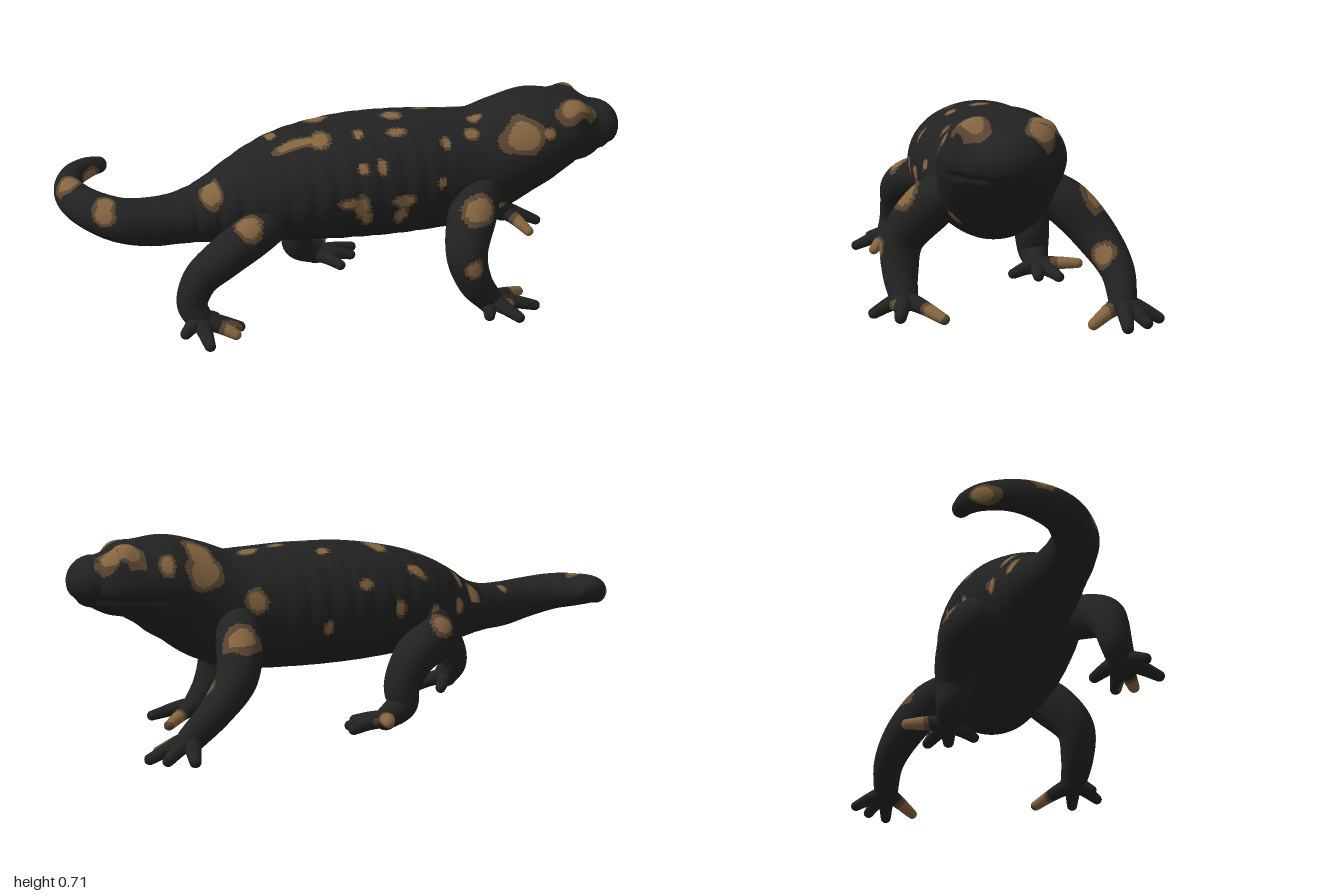
import * as THREE from 'three';

const V = (x, y, z) => new THREE.Vector3(x, y, z);
const material = (name, color) => Object.assign(new THREE.MeshStandardMaterial({ color }), { name });

// Sweeps an oval section through stations [x, y, z, halfWidth, halfHeight], with domed ends
function sweep(stations, rings, sides, deform) {
  const path = new THREE.CatmullRomCurve3(stations.map(s => V(s[0], s[1], s[2])));
  const size = new THREE.CatmullRomCurve3(stations.map(s => V(s[3], s[4] ?? s[3], 0.5 * s[0])));
  const list = [], caps = 7;
  let side = null;
  for (let i = 0; i <= rings; i++) {
    const u = i / rings, c = path.getPoint(u), r = size.getPoint(u), t = path.getTangent(u);
    side = side ? side.addScaledVector(t, -side.dot(t)).normalize() : V().crossVectors(t, V(0, 1, 0)).normalize();
    const add = (off, k) => list.push({ c: c.clone().addScaledVector(t, off), w: r.x * k, h: r.y * k, s: side.clone(), u: V().crossVectors(side, t) });
    const cap = Math.min(r.x, r.y);
    const dome = (k, sign) => add(sign * cap * Math.sin(k / caps * Math.PI / 2), Math.cos(k / caps * Math.PI / 2));
    if (i === 0) for (let k = caps; k > 0; k--) dome(k, -1);
    add(0, 1);
    if (i === rings) for (let k = 1; k <= caps; k++) dome(k, 1);
  }
  const pos = [], index = [];
  list.forEach((f, i) => {
    for (let j = 0; j < sides; j++) {
      const a = j / sides * Math.PI * 2;
      const p = f.c.clone().addScaledVector(f.s, Math.cos(a) * f.w).addScaledVector(f.u, Math.sin(a) * f.h);
      if (deform) deform(p, f.c);
      pos.push(p.x, p.y, p.z);
      if (i === list.length - 1) continue;
      const A = i * sides + j, B = i * sides + (j + 1) % sides;
      index.push(A, A + sides, B, B, A + sides, B + sides);
    }
  });
  const g = new THREE.BufferGeometry();
  g.setAttribute('position', new THREE.Float32BufferAttribute(pos, 3));
  g.setIndex(index);
  g.computeVertexNormals();
  return g;
}

// Sorts the faces into skin, spot rim and spot centre; spot(p, n) gives the relative distance to a spot
function paint(geometry, spot) {
  const p = geometry.attributes.position, idx = geometry.index.array, bins = [[], [], []];
  const a = V(), b = V(), c = V(), n = V(), m = V();
  for (let i = 0; i < idx.length; i += 3) {
    a.fromBufferAttribute(p, idx[i]); b.fromBufferAttribute(p, idx[i + 1]); c.fromBufferAttribute(p, idx[i + 2]);
    m.copy(a).add(b).add(c).divideScalar(3);
    n.crossVectors(b.sub(a), c.sub(a)).normalize();
    const d = spot(m, n) * (1 + 0.12 * Math.sin(55 * m.x + 20 * m.y) * Math.cos(50 * m.z + 30 * m.y));
    bins[d < 0.72 ? 2 : d < 1 ? 1 : 0].push(idx[i], idx[i + 1], idx[i + 2]);
  }
  geometry.setIndex(bins.flat());
  let start = 0;
  bins.forEach((bin, k) => { if (bin.length) geometry.addGroup(start, bin.length, k); start += bin.length; });
  return geometry;
}

// Snout to tail tip
const BODY = [
  [0.915, 0.573, 0.055, 0.108, 0.088], [0.86, 0.568, 0.05, 0.15, 0.11], [0.8, 0.57, 0.045, 0.177, 0.128],
  [0.7, 0.558, 0.045, 0.2, 0.165], [0.6, 0.522, 0.045, 0.2, 0.18], [0.5, 0.475, 0.035, 0.195, 0.195],
  [0.4, 0.457, 0.03, 0.205, 0.208], [0.2, 0.457, 0.025, 0.237, 0.217], [0, 0.457, 0.022, 0.245, 0.213],
  [-0.2, 0.445, 0.028, 0.225, 0.19], [-0.4, 0.407, 0.05, 0.15, 0.148], [-0.5, 0.395, 0.065, 0.125, 0.107],
  [-0.6, 0.39, 0.085, 0.1, 0.087], [-0.7, 0.393, 0.1, 0.085, 0.083], [-0.8, 0.41, 0.1, 0.075, 0.076],
  [-0.89, 0.435, 0.045, 0.065, 0.068], [-0.94, 0.45, -0.05, 0.055, 0.06], [-0.942, 0.46, -0.13, 0.048, 0.052],
  [-0.91, 0.465, -0.21, 0.042, 0.045], [-0.86, 0.47, -0.25, 0.036, 0.038], [-0.82, 0.47, -0.265, 0.029, 0.03],
];
const EYES = [V(0.85, 0.665, -0.05), V(0.81, 0.665, 0.165)];

// Eye bulges, mouth crease and rib folds
function shapeBody(p, c) {
  const out = p.clone().sub(c).normalize();
  let d = 0;
  for (const e of EYES) d += 0.034 * Math.exp(-p.distanceToSquared(e) / 0.0032);
  if (p.x > 0.7) d -= 0.009 * Math.min(1, (p.x - 0.7) / 0.06) * Math.exp(-(((p.y - 0.515) / 0.011) ** 2));
  if (p.x > -0.65 && p.x < 0.4) {
    const fade = Math.min(1, (0.4 - p.x) / 0.1, (p.x + 0.65) / 0.1);
    d -= 0.007 * fade * Math.pow(0.5 + 0.5 * Math.cos(p.x * 80), 3) * (1 - out.y * out.y);
  }
  p.addScaledVector(out, d);
}

// Body spots: [u, v, radiusU, radiusV, turn], seen along one axis
const TOP = [
  [-0.09, -0.04, 0.04, 0.055], [-0.2, 0.11, 0.08, 0.026], [-0.11, 0.12, 0.04, 0.045], [-0.26, 0, 0.02, 0.045],
  [0.02, 0.13, 0.02, 0.024], [0.165, 0.045, 0.036, 0.036], [0.15, 0.14, 0.04, 0.02], [0.14, -0.09, 0.025, 0.02],
  [0.28, -0.01, 0.036, 0.017], [0.39, -0.03, 0.048, 0.022, -0.3], [0.45, 0.095, 0.03, 0.02], [0.42, 0.155, 0.03, 0.02],
  [0.32, 0.18, 0.02, 0.02], [0.59, -0.09, 0.055, 0.075], [0.86, -0.055, 0.09, 0.045, 0.7], [0.8, 0.165, 0.09, 0.042, -0.4],
  [0.72, -0.125, 0.03, 0.025], [-0.5, 0.13, 0.036, 0.045], [-0.49, -0.05, 0.03, 0.03], [-0.42, -0.05, 0.015, 0.03],
  [-0.67, 0.045, 0.02, 0.02], [-0.85, 0.12, 0.035, 0.035], [-0.95, -0.04, 0.045, 0.05], [-0.2, -0.15, 0.04, 0.02],
];
const NEAR = [
  [0, 0.43, 0.03, 0.05], [-0.03, 0.45, 0.055, 0.02], [0.02, 0.385, 0.02, 0.03], [0.15, 0.44, 0.045, 0.026],
  [0.14, 0.385, 0.028, 0.035], [0.29, 0.485, 0.02, 0.022], [0.01, 0.56, 0.022, 0.02], [0.08, 0.56, 0.02, 0.026],
  [0.59, 0.61, 0.08, 0.058, 0.25], [0.68, 0.62, 0.025, 0.02], [0.52, 0.345, 0.03, 0.025],
  [-0.49, 0.49, 0.036, 0.036], [-0.86, 0.45, 0.036, 0.036],
];
const FAR = [
  [0.59, 0.6, 0.07, 0.06], [0.42, 0.5, 0.04, 0.045], [0.03, 0.54, 0.03, 0.02], [-0.1, 0.45, 0.022, 0.035],
  [0.17, 0.4, 0.02, 0.03], [-0.26, 0.42, 0.022, 0.035], [-0.4, 0.43, 0.022, 0.03], [-0.95, 0.45, 0.03, 0.03],
];
const nearest = (spots, u, v) => Math.min(...spots.map(([su, sv, ru, rv, turn = 0]) => {
  const c = Math.cos(turn), s = Math.sin(turn), du = u - su, dv = v - sv;
  return Math.hypot((du * c + dv * s) / ru, (dv * c - du * s) / rv);
}));
function bodySpot(p, n) {
  const d = n.y > 0.25 ? nearest(TOP, p.x, p.z) : 9;
  if (n.z > 0.25) return Math.min(d, nearest(NEAR, p.x, p.y));
  if (n.z < -0.25) return Math.min(d, nearest(FAR, p.x, p.y));
  return d;
}

// Each leg: limb stations, toe tips, round spots [x, y, z, radius]
const LEGS = {
  frontLeftLeg: {
    limb: [[0.47, 0.43, -0.11, 0.07], [0.5, 0.375, -0.2, 0.078], [0.55, 0.27, -0.29, 0.07], [0.64, 0.18, -0.335, 0.056], [0.73, 0.095, -0.335, 0.045]],
    toes: [[0.76, 0.045, -0.445], [0.83, 0.045, -0.39], [0.865, 0.04, -0.32], [0.8, 0.04, -0.225]],
    spots: [[0.52, 0.38, -0.26, 0.065], [0.64, 0.23, -0.29, 0.048], [0.79, 0.06, -0.24, 0.065]],
  },
  frontRightLeg: {
    limb: [[0.46, 0.43, 0.17, 0.07], [0.4, 0.36, 0.25, 0.085], [0.355, 0.245, 0.33, 0.072], [0.385, 0.14, 0.34, 0.06], [0.44, 0.065, 0.335, 0.047]],
    toes: [[0.42, 0.035, 0.4], [0.515, 0.035, 0.44], [0.6, 0.035, 0.362], [0.59, 0.024, 0.22]],
    spots: [[0.4, 0.4, 0.32, 0.062], [0.36, 0.22, 0.395, 0.035], [0.57, 0.04, 0.245, 0.06], [0.5, 0.055, 0.37, 0.02]],
  },
  hindLeftLeg: {
    limb: [[-0.28, 0.38, -0.08, 0.075], [-0.26, 0.34, -0.155, 0.085], [-0.17, 0.27, -0.185, 0.075], [-0.12, 0.18, -0.19, 0.064], [-0.115, 0.11, -0.195, 0.056], [-0.05, 0.065, -0.2, 0.04]],
    toes: [[0.01, 0.08, -0.335], [0.1, 0.05, -0.25], [0.08, 0.05, -0.18], [0.02, 0.05, -0.1]],
    spots: [[-0.26, 0.39, -0.235, 0.05], [0, 0.08, -0.31, 0.065]],
  },
  hindRightLeg: {
    limb: [[-0.27, 0.37, 0.12, 0.075], [-0.37, 0.35, 0.21, 0.075], [-0.48, 0.3, 0.255, 0.07], [-0.565, 0.23, 0.26, 0.06], [-0.595, 0.15, 0.27, 0.052], [-0.575, 0.1, 0.29, 0.045]],
    toes: [[-0.635, 0.085, 0.355], [-0.565, 0.06, 0.415], [-0.465, 0.06, 0.355], [-0.44, 0.06, 0.3], [-0.51, 0.065, 0.215]],
    spots: [[-0.39, 0.4, 0.255, 0.055], [-0.47, 0.07, 0.35, 0.05]],
  },
};

export function createModel() {
  const materials = [material('black skin', 0x222222), material('dark brown spot rim', 0x594530), material('tan spot', 0x856540)];
  const model = new THREE.Group();
  model.name = 'salamander';
  const add = (parent, name, geometry, spot) => {
    const mesh = new THREE.Mesh(paint(geometry, spot), materials);
    mesh.name = name;
    parent.add(mesh);
  };

  add(model, 'bodyHeadAndTail', sweep(BODY, 300, 120, shapeBody), bodySpot);

  for (const [name, { limb, toes, spots }] of Object.entries(LEGS)) {
    const leg = new THREE.Group();
    leg.name = name;
    model.add(leg);
    const legSpot = p => Math.min(...spots.map(([x, y, z, r]) => p.distanceTo(V(x, y, z)) / r));
    add(leg, 'limb', sweep(limb, 64, 36), legSpot);
    const [wx, wy, wz] = limb[limb.length - 1];
    for (const [x, y, z] of toes) {
      const mid = [(wx + x) / 2, (wy + y) / 2 + 0.004, (wz + z) / 2];
      add(leg, 'toe', sweep([[wx, wy, wz, 0.036, 0.032], [...mid, 0.027, 0.024], [x, y, z, 0.019, 0.018]], 22, 16), legSpot);
    }
  }
  return model;
}
